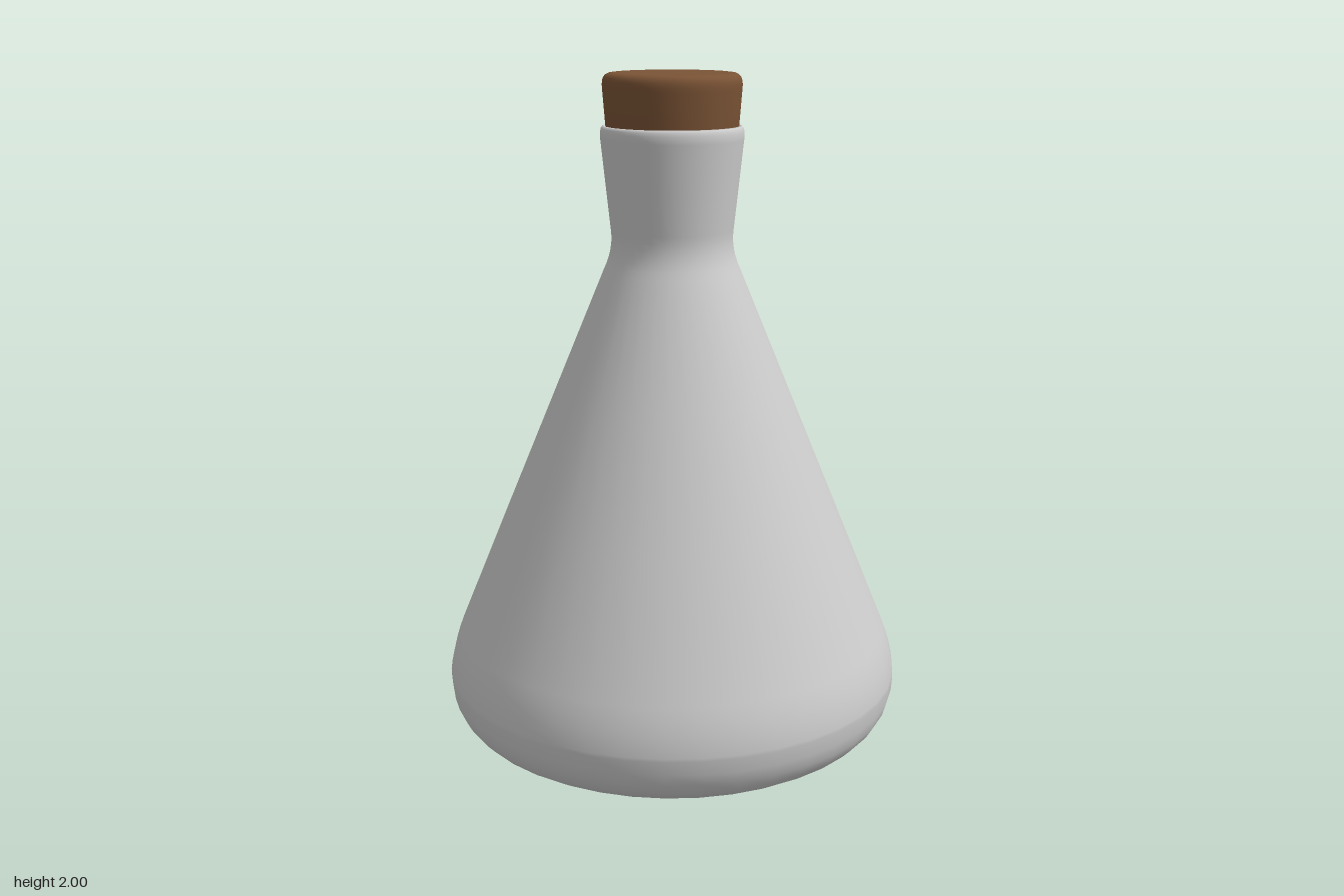
import * as THREE from 'three';

const SEGMENTS = 40;

// Revolves a list of [radius, height] points around the y axis
function lathe(name, points, material) {
  const profile = points.map(([r, y]) => new THREE.Vector2(r, y));
  const mesh = new THREE.Mesh(new THREE.LatheGeometry(profile, SEGMENTS), material);
  mesh.name = name;
  return mesh;
}

// Points along a quadratic curve, for rounded corners in a profile
function bend(start, control, end, steps) {
  const curve = new THREE.QuadraticBezierCurve(
    new THREE.Vector2(...start), new THREE.Vector2(...control), new THREE.Vector2(...end));
  return curve.getPoints(steps).map((p) => [p.x, p.y]);
}

export function createModel() {
  const glass = new THREE.MeshStandardMaterial({ color: 0xcccccc });
  glass.name = 'pale glass';
  const cork = new THREE.MeshStandardMaterial({ color: 0x7a5335 });
  cork.name = 'brown cork';

  const group = new THREE.Group();
  group.name = 'stopperedFlask';

  // Flask: slightly hollowed base, round heel, conical body, flared neck, rolled lip
  group.add(lathe('flask', [
    [0, 0.04], [0.15, 0.037], [0.3, 0.022], [0.4, 0.006],
    ...bend([0.47, 0], [0.69, 0], [0.69, 0.18], 8),
    ...bend([0.69, 0.19], [0.685, 0.25], [0.655, 0.325], 4),
    [0.5, 0.705], [0.35, 1.07],
    ...bend([0.202, 1.43], [0.173, 1.49], [0.181, 1.55], 6),
    [0.195, 1.68], [0.209, 1.81],
    ...bend([0.21, 1.82], [0.21, 1.85], [0.198, 1.85], 4),
    [0.19, 1.84], [0.185, 1.8],
  ], glass));

  // Stopper: tapered plug with a rounded top edge
  group.add(lathe('stopper', [
    [0, 1.74], [0.18, 1.74], [0.18, 1.74], [0.194, 1.85], [0.202, 1.95],
    ...bend([0.203, 1.965], [0.204, 2], [0.172, 2], 5),
    [0.16, 2], [0, 2],
  ], cork));

  return group;
}
